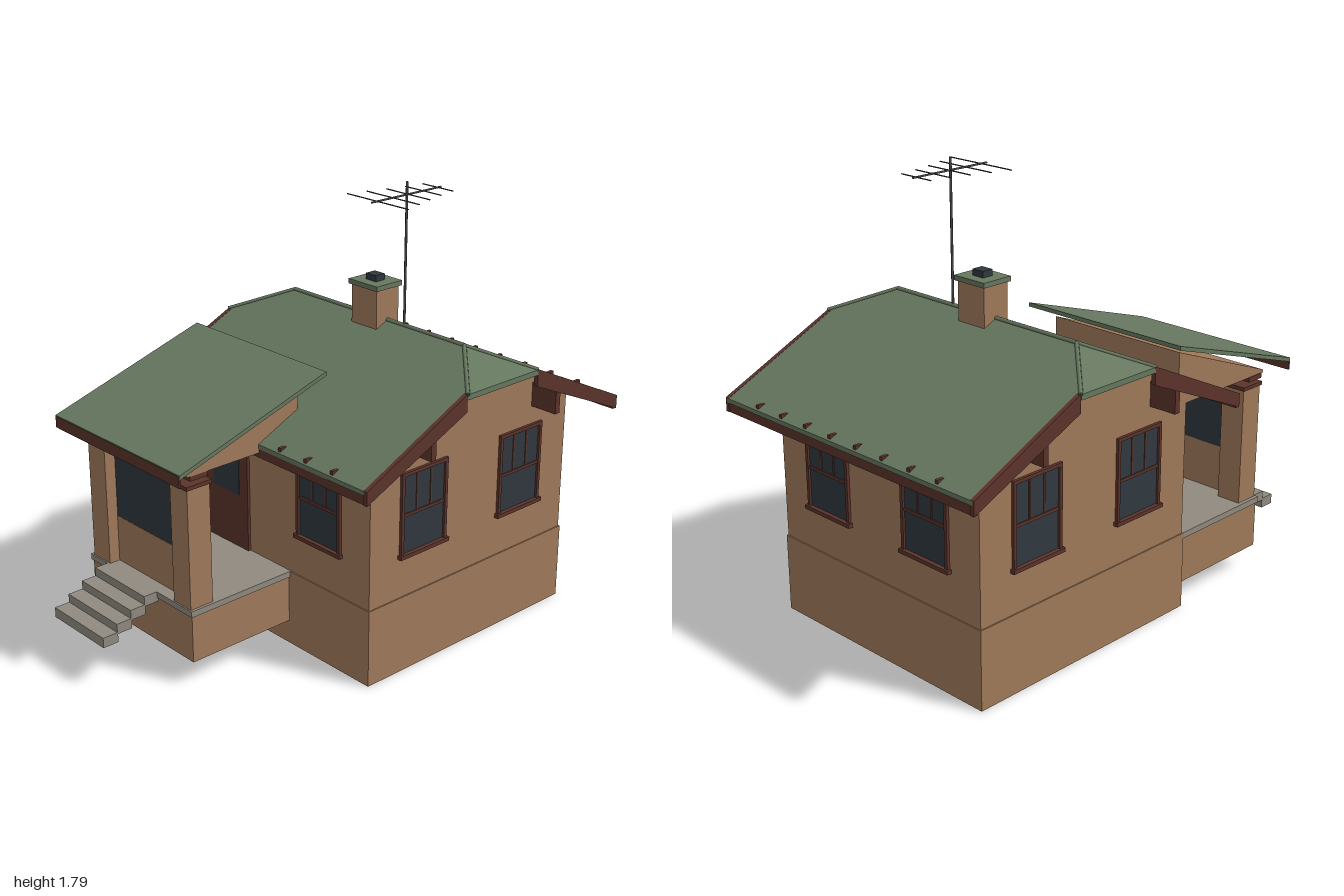
import * as THREE from 'three';

const mat = (name, color, side = THREE.FrontSide) => {
  const m = new THREE.MeshStandardMaterial({ color, side });
  m.name = name;
  return m;
};

export function createModel() {
  const wall = mat('tan stucco', 0xa07a5a);
  const green = mat('green roofing', 0x66775f);
  const trim = mat('dark red wood', 0x5c342b);
  const glass = mat('dark glass', 0x30383f);
  const stone = mat('grey concrete', 0x908a80);
  const metal = mat('dark metal', 0x4c4a47);

  const model = new THREE.Group();
  const add = (parent, name, geometry, material) => {
    const mesh = new THREE.Mesh(geometry, material);
    mesh.name = name;
    parent.add(mesh);
    return mesh;
  };
  const group = (name, parent = model) => {
    const g = new THREE.Group();
    g.name = name;
    parent.add(g);
    return g;
  };
  // Box given by its limits on each axis
  const box = (parent, name, material, [x0, x1], [y0, y1], [z0, z1]) =>
    add(parent, name, new THREE.BoxGeometry(x1 - x0, y1 - y0, z1 - z0)
      .translate((x0 + x1) / 2, (y0 + y1) / 2, (z0 + z1) / 2), material);
  // Side profile of [z, y] points drawn out along x
  const extrudeX = (pts, x0, x1) =>
    new THREE.ExtrudeGeometry(new THREE.Shape(pts.map(p => new THREE.Vector2(...p))),
      { depth: x1 - x0, bevelEnabled: false }).rotateY(-Math.PI / 2).translate(x1, 0, 0);
  // Convex roof plane with a vertical thickness
  const slab = (pts, t) => {
    const low = pts.map(([x, y, z]) => [x, y - t, z]);
    const v = [], n = pts.length;
    for (let i = 1; i < n - 1; i++) {
      v.push(...pts[0], ...pts[i], ...pts[i + 1]);
      v.push(...low[0], ...low[i + 1], ...low[i]);
    }
    for (let i = 0; i < n; i++) {
      const j = (i + 1) % n;
      v.push(...pts[i], ...low[i], ...low[j], ...pts[i], ...low[j], ...pts[j]);
    }
    const g = new THREE.BufferGeometry();
    g.setAttribute('position', new THREE.Float32BufferAttribute(v, 3));
    g.computeVertexNormals();
    return g;
  };
  // Round rod between two points
  const rod = (parent, name, material, a, b, r) => {
    const p = new THREE.Vector3(...a), q = new THREE.Vector3(...b), d = q.clone().sub(p);
    const m = add(parent, name, new THREE.CylinderGeometry(r, r, d.length(), 8), material);
    m.position.copy(p).add(q).multiplyScalar(0.5);
    m.quaternion.setFromUnitVectors(new THREE.Vector3(0, 1, 0), d.normalize());
  };

  // House body, centred on the ridge line
  const house = group('house');
  house.position.z = -0.291;
  box(house, 'foundation', wall, [-0.55, 0.55], [0, 0.32], [-0.55, 0.55]);
  add(house, 'walls', extrudeX([[-0.545, 0.32], [0.545, 0.32], [0.545, 0.94], [0.2, 1.1],
    [-0.2, 1.1], [-0.545, 0.94]], -0.545, 0.545), wall);

  // Sash windows: two on each side and the back, one on the front
  const addWindow = (angle, x) => {
    const w = group('window', house);
    w.rotation.y = angle;
    const z = 0.545, part = (n, m, xs, ys, d) =>
      box(w, n, m, [x + xs[0], x + xs[1]], ys, [z - 0.005, z + d]);
    part('windowGlass', glass, [-0.115, 0.115], [0.5, 0.825], 0.003);
    for (const s of [-1, 1]) {
      part('windowJamb', trim, [s * 0.115 - 0.007, s * 0.115 + 0.007], [0.495, 0.835], 0.012);
      part('windowMuntin', trim, [s * 0.037 - 0.004, s * 0.037 + 0.004], [0.66, 0.825], 0.006);
    }
    part('windowHead', trim, [-0.122, 0.122], [0.822, 0.836], 0.012);
    part('windowRail', trim, [-0.115, 0.115], [0.655, 0.667], 0.008);
    part('windowSill', trim, [-0.13, 0.13], [0.487, 0.503], 0.02);
  };
  addWindow(0, 0.27);
  for (const angle of [Math.PI / 2, Math.PI, -Math.PI / 2])
    for (const x of [-0.27, 0.27]) addWindow(angle, x);

  // Front door behind the porch screen
  box(house, 'doorFrame', trim, [-0.4, -0.14], [0.32, 0.835], [0.54, 0.557]);
  box(house, 'doorGlass', glass, [-0.35, -0.19], [0.55, 0.78], [0.555, 0.56]);

  // Main roof with clipped gables; each half is turned about the ridge centre
  const top = 1.225, eave = 0.9, hipY = 1.135, hipZ = 0.195, ez = 0.697;
  for (const turn of [0, Math.PI]) {
    const half = group(turn ? 'backRoof' : 'frontRoof', house);
    half.rotation.y = turn;
    add(half, 'roofSlope', slab([[-0.48, top, 0], [-0.675, hipY, hipZ], [-0.675, eave, ez],
      [0.675, eave, ez], [0.675, hipY, hipZ], [0.48, top, 0]], 0.018), green);
    add(half, 'roofHip', slab([[0.48, top, 0], [0.685, hipY, hipZ], [0.685, hipY, -hipZ]], 0.022), green);
    for (const s of [-1, 1])
      rod(half, 'hipCap', green, [0.48, top, 0], [0.683, hipY, s * hipZ], 0.008);
    box(half, 'fascia', trim, [-0.68, 0.68], [0.845, 0.886], [0.68, 0.694]);
    for (const s of [-1, 1]) {
      const c = s * 0.674;
      add(half, 'bargeboard', extrudeX([[hipZ, 1.065], [ez, 0.845], [ez, 0.901], [hipZ, 1.136]],
        c - 0.009, c + 0.009), trim);
      const x0 = s < 0 ? -0.665 : 0.54;
      box(half, 'gableBracket', trim, [x0, x0 + 0.125], [0.91, 1.01], [0.333, 0.358]);
    }
    // Rafter tails; the front ones stop at the porch
    for (let i = 0; i < 8; i++) {
      const x = -0.495 + i * 0.141;
      if (!turn && x < 0.18) continue;
      const c = turn ? -x : x;
      box(half, 'rafterTail', trim, [c - 0.007, c + 0.007], [0.885, 0.918], [0.54, 0.69]);
    }
  }
  rod(house, 'ridgeCap', green, [-0.48, top, 0], [0.48, top, 0], 0.009);

  // Chimney
  box(house, 'chimney', wall, [-0.072, 0.068], [1.09, 1.356], [-0.06, 0.06]);
  box(house, 'chimneyCap', green, [-0.082, 0.078], [1.355, 1.375], [-0.069, 0.069]);
  box(house, 'chimneyFlue', glass, [-0.03, 0.026], [1.375, 1.4], [-0.024, 0.024]);

  // Roof antenna
  const antenna = group('antenna', house);
  rod(antenna, 'mast', metal, [0.162, 1.2, 0], [0.162, 1.795, 0], 0.005);
  rod(antenna, 'boom', metal, [0.162, 1.745, -0.185], [0.162, 1.745, 0.185], 0.004);
  [0.08, 0.095, 0.115, 0.14, 0.163].forEach((h, i) => {
    const z = -0.168 + i * 0.081;
    rod(antenna, 'antennaElement', metal, [0.162 - h, 1.745, z], [0.162 + h, 1.745, z], 0.0025);
  });

  // Porch platform and steps
  const porch = group('porch');
  box(porch, 'porchBase', wall, [-0.54, 0.098], [0.1, 0.296], [0.25, 0.74]);
  box(porch, 'porchFloor', stone, [-0.548, 0.104], [0.295, 0.32], [0.25, 0.746]);
  for (let i = 0; i < 4; i++) {
    const z = 0.74 + i * 0.065, y = 0.32 - i * 0.035;
    box(porch, 'step', stone, [-0.435, -0.112], [y - 0.042, y], [z - 0.003, z + 0.065]);
  }

  // Columns with caps, and the glazed screen between them
  for (const [x0, x1] of [[-0.532, -0.425], [-0.011, 0.092]]) {
    box(porch, 'column', wall, [x0, x1], [0.32, 0.811], [0.635, 0.74]);
    box(porch, 'columnCap', trim, [x0 - 0.006, x1 + 0.006], [0.81, 0.826], [0.629, 0.746]);
  }
  box(porch, 'screenWall', wall, [-0.426, -0.01], [0.32, 0.515], [0.684, 0.694]);
  box(porch, 'screenGlass', glass, [-0.426, -0.01], [0.515, 0.806], [0.685, 0.693]);
  box(porch, 'screenHead', wall, [-0.426, -0.01], [0.806, 0.848], [0.684, 0.694]);
  box(porch, 'porchBeam', trim, [-0.545, 0.1], [0.846, 0.866], [0.65, 0.73]);

  // Porch gable infill, roof and fascia
  add(porch, 'porchGable', extrudeX([[0.21, 0.865], [0.745, 0.865], [0.745, 0.876], [0.21, 1.08]],
    -0.542, 0.1), wall);
  add(porch, 'porchRoof', slab([[-0.61, 1.14, 0.13], [-0.61, 0.922, 0.83], [0.172, 0.922, 0.83],
    [0.172, 1.14, 0.13]], 0.017), green);
  box(porch, 'porchFascia', trim, [-0.608, 0.17], [0.872, 0.918], [0.824, 0.832]);

  return model;
}
